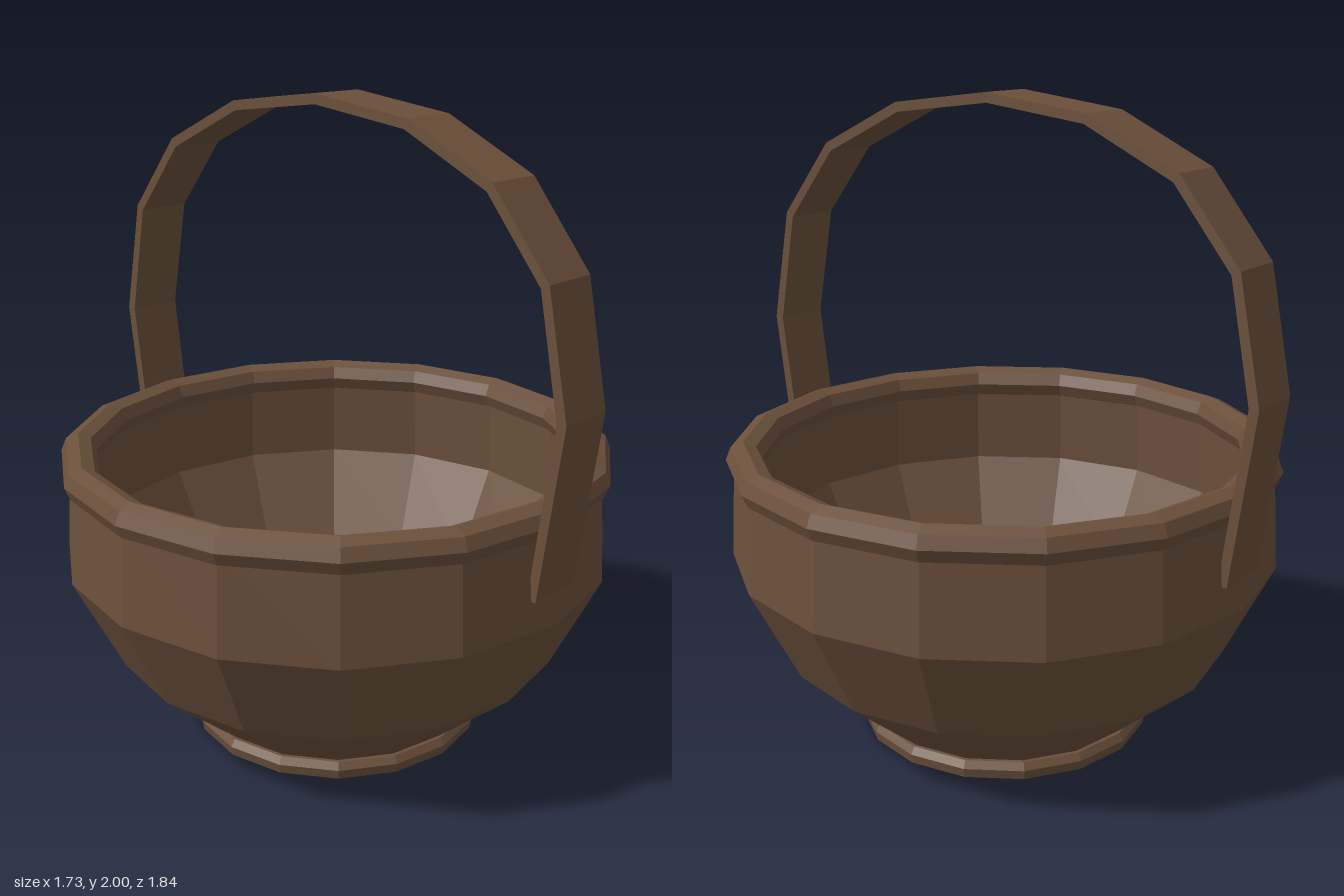
import * as THREE from 'three';

const SIDES = 16;

export function createModel() {
  const model = new THREE.Group();
  model.name = 'basket';

  const wood = new THREE.MeshStandardMaterial({ color: 0x6b503b, flatShading: true });
  wood.name = 'brown wood';

  const add = (name, geometry) => {
    const mesh = new THREE.Mesh(geometry, wood);
    mesh.name = name;
    model.add(mesh);
    return mesh;
  };
  const points = (list) => list.map(([a, b]) => new THREE.Vector2(a, b));

  // Hollow bowl: outer wall upward, over the lip, down the inner wall to the floor
  add('bowl', new THREE.LatheGeometry(points([
    [0.43, 0.04], [0.71, 0.285], [0.86, 0.59], [0.84, 0.9],
    [0.78, 0.9], [0.79, 0.61], [0.64, 0.32], [0.415, 0.09], [0, 0.09],
  ]), SIDES));

  // Rounded band around the opening
  const rim = add('rim', new THREE.TorusGeometry(0.81, 0.055, 8, SIDES));
  rim.rotation.x = Math.PI / 2;
  rim.position.y = 0.9;

  // Flat foot with a bevelled top edge
  add('foot', new THREE.LatheGeometry(points([
    [0, 0], [0.465, 0], [0.47, 0.03], [0.455, 0.052], [0.4, 0.052],
  ]), SIDES));

  // Hooped handle: half outlines from the lower end to the crown, mirrored
  const outer = [[0.851, 0.685], [0.92, 1.215], [0.845, 1.578], [0.65, 1.817], [0.35, 1.957], [0, 2]];
  const inner = [[0.821, 0.685], [0.889, 1.212], [0.818, 1.565], [0.632, 1.792], [0.342, 1.928], [0, 1.97]];
  const hoop = (half) => [...half, ...half.slice(0, -1).reverse().map(([z, y]) => [-z, y])];
  const outline = new THREE.Shape(points([...hoop(outer), ...hoop(inner).reverse()]));
  const handle = new THREE.ExtrudeGeometry(outline, { depth: 0.18, bevelEnabled: false });
  handle.translate(0, 0, -0.09).rotateY(-Math.PI / 2);
  add('handle', handle);

  return model;
}
